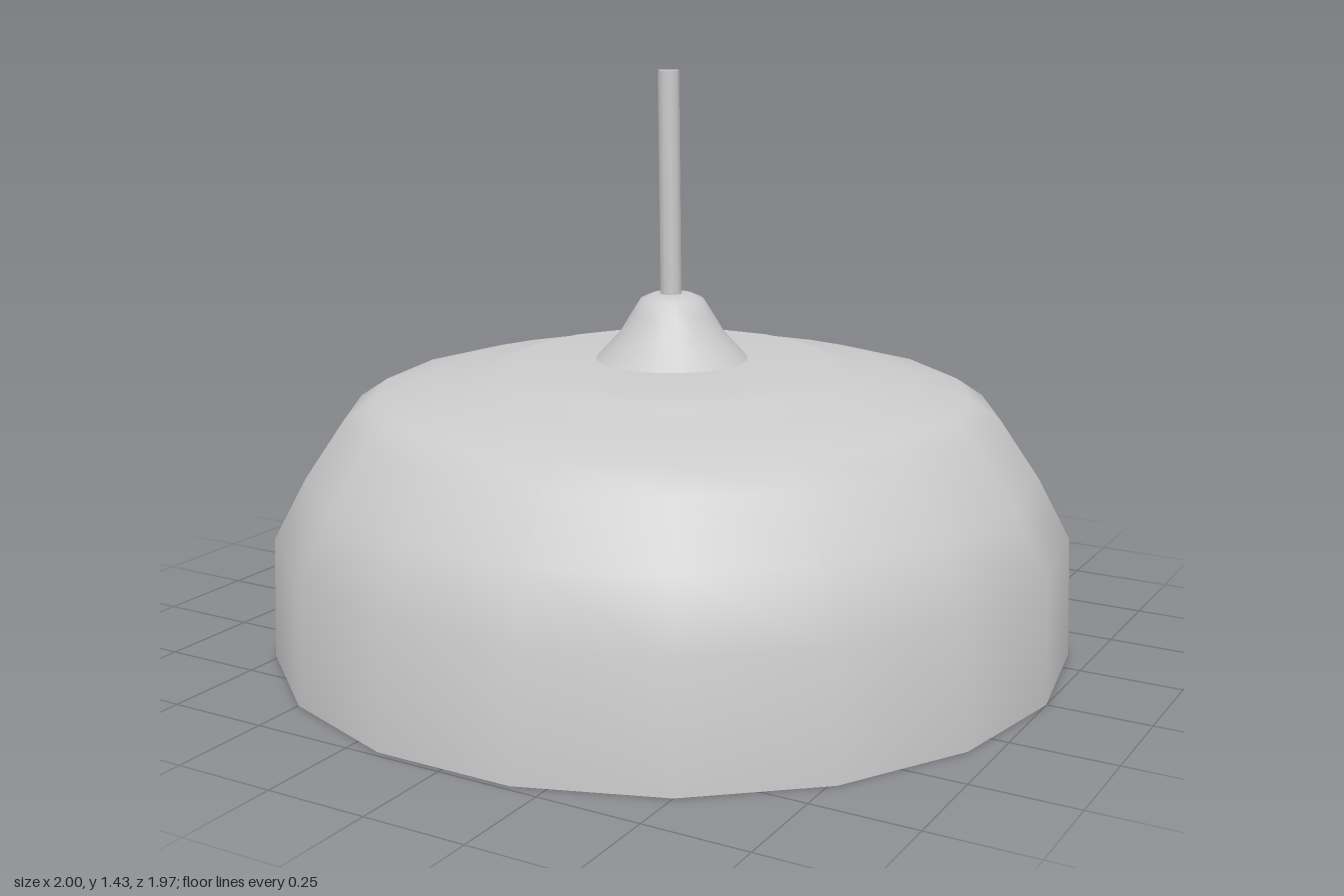
import * as THREE from 'three';

const material = new THREE.MeshStandardMaterial({ color: 0xcccccc, side: THREE.DoubleSide });

function addPart(group, name, geometry) {
  const mesh = new THREE.Mesh(geometry, material);
  mesh.name = name;
  group.add(mesh);
  return mesh;
}

// Turned part from [radius, height] pairs, with corners on the x axis
function turned(points, sides) {
  return new THREE.LatheGeometry(points.map(([r, y]) => new THREE.Vector2(r, y)), sides, Math.PI / 2);
}

export function createModel() {
  const lamp = new THREE.Group();
  lamp.name = 'pendantLamp';

  // Wide dome with a slightly raised flat top
  addPart(lamp, 'shade', turned([
    [1, 0], [0.99, 0.3], [0.91, 0.45], [0.815, 0.59], [0.745, 0.637],
    [0.59, 0.675], [0.46, 0.693], [0.39, 0.72], [0, 0.72],
  ], 18));

  // Inner wall above the open rim, then the underside of the dome
  addPart(lamp, 'innerWall', turned([[0.955, 0.33], [0.975, 0.28], [0.985, 0], [1, 0]], 18));
  addPart(lamp, 'innerDome', turned([
    [0, 0.7], [0.39, 0.7], [0.46, 0.673], [0.58, 0.655], [0.73, 0.618],
    [0.797, 0.575], [0.89, 0.44], [0.955, 0.33],
  ], 18));

  // Flared cap on top of the shade
  addPart(lamp, 'cap', turned([
    [0.19, 0.72], [0.13, 0.785], [0.1, 0.835], [0.078, 0.87], [0.05, 0.882], [0, 0.882],
  ], 20));

  // Cord, leaning a touch towards the model's right
  const cordPath = new THREE.LineCurve3(new THREE.Vector3(-0.003, 0.87, 0), new THREE.Vector3(-0.01, 1.43, 0));
  addPart(lamp, 'cord', new THREE.TubeGeometry(cordPath, 1, 0.027, 10));
  const cordEnd = addPart(lamp, 'cordEnd', new THREE.CircleGeometry(0.027, 10));
  cordEnd.rotation.x = -Math.PI / 2;
  cordEnd.position.set(-0.01, 1.43, 0);

  // Square socket holder, wider at its top, hung on a short stem
  const holder = new THREE.CylinderGeometry(0.28, 0.25, 0.11, 4, 1).toNonIndexed();
  holder.computeVertexNormals();
  holder.rotateY(Math.PI / 4);
  addPart(lamp, 'socketHolder', holder).position.y = 0.41;
  addPart(lamp, 'stem', new THREE.CylinderGeometry(0.04, 0.04, 0.24, 12)).position.y = 0.58;

  // Round bulb with a narrow neck
  const bulb = [];
  for (let i = 0; i <= 12; i++) {
    const a = -Math.PI / 2 + (i / 12) * (Math.PI / 2 + 1.13);
    bulb.push([Math.max(0, 0.153 * Math.cos(a)), 0.165 + 0.153 * Math.sin(a)]);
  }
  bulb.push([0.06, 0.33], [0.058, 0.37]);
  addPart(lamp, 'bulb', turned(bulb, 24));

  return lamp;
}
